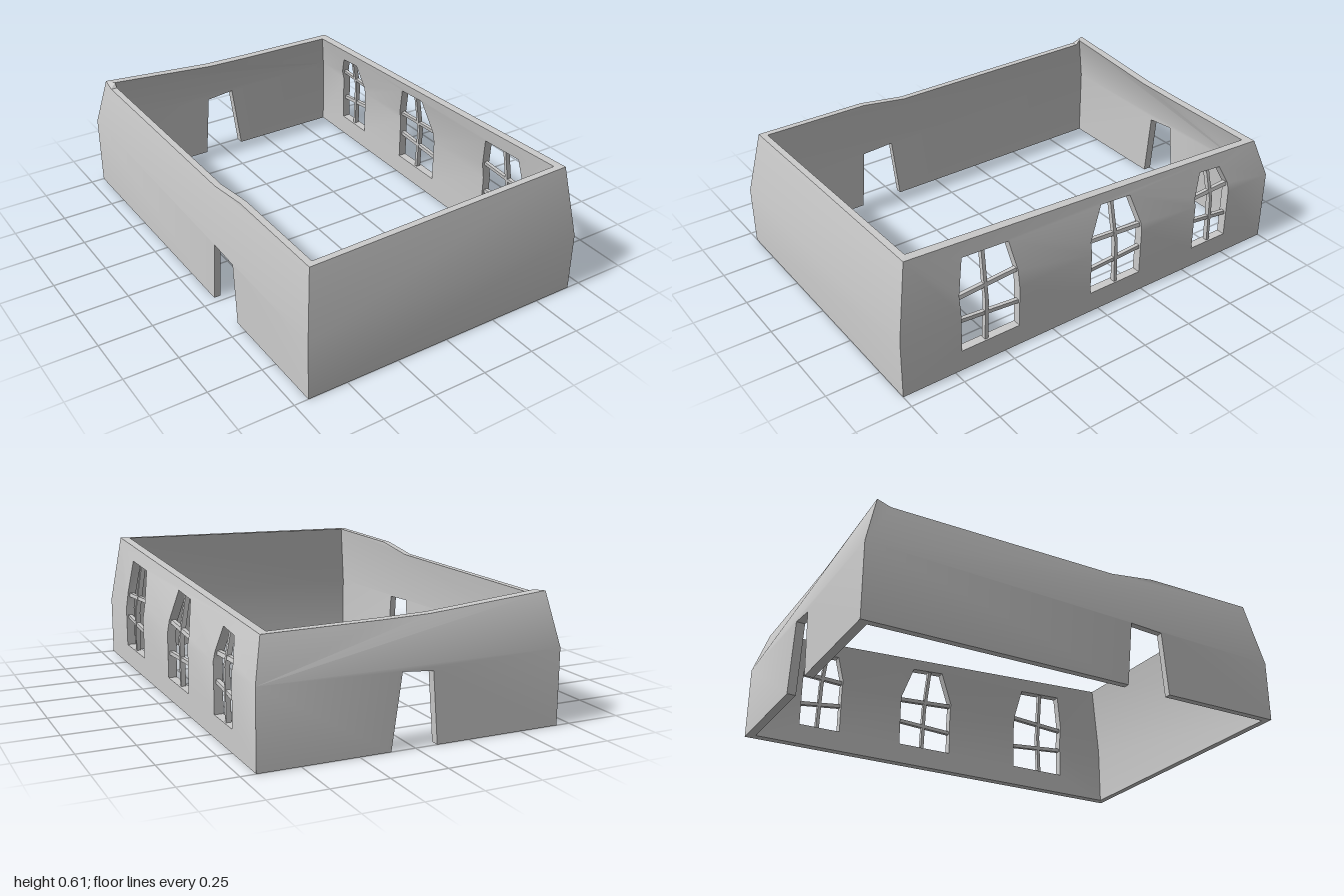
import * as THREE from 'three';
import { mergeGeometries, toCreasedNormals } from 'three/addons/utils/BufferGeometryUtils.js';

const lerp = THREE.MathUtils.lerp;

// Walls in order front, right, back, left. In each, u runs to the right as seen from outside.
// half: half length, dist: distance to centre, lean: inward lean of the top, t: thickness,
// crease: height of the bend at both ends, top: outline of the upper edge.
const WALLS = [
  { name: 'frontWall', half: 0.685, dist: 1, lean: 0.06, t: 0.03, crease: [0.28, 0.28],
    top: [[-0.685, 0.58], [0.685, 0.61]], windows: [], doors: [] },
  { name: 'rightWall', half: 1, dist: 0.685, lean: 0.045, t: 0.04, crease: [0.28, 0.34],
    top: [[-1, 0.61], [1, 0.52]], doors: [],
    // l, r: sides; sh: shoulders; tl, tr: top corners; mid: mullion; bars: end heights
    windows: [
      { l: -0.716, r: -0.428, sh: [0.37, 0.375], tl: [-0.685, 0.53], tr: [-0.46, 0.52],
        mid: [-0.59, -0.58], bars: [[0.355, 0.375], [0.245, 0.22]] },
      { l: -0.048, r: 0.23, sh: [0.365, 0.355], tl: [0.02, 0.515], tr: [0.18, 0.505],
        mid: [0.1, 0.085], bars: [[0.36, 0.345], [0.215, 0.23]] },
      { l: 0.55, r: 0.754, sh: [0.365, 0.375], tl: [0.59, 0.477], tr: [0.71, 0.467],
        mid: [0.66, 0.645], bars: [[0.36, 0.37], [0.24, 0.215]] },
    ] },
  { name: 'backWall', half: 0.685, dist: 1, lean: 0.06, t: 0.04, crease: [0.34, 0.34],
    top: [[-0.685, 0.52], [-0.13, 0.525], [0.09, 0.53], [0.685, 0.575]], windows: [],
    doors: [[[-0.11, 0], [-0.065, 0.325], [0.075, 0.31], [0.1, 0]]] },
  { name: 'leftWall', half: 1, dist: 0.685, lean: 0.045, t: 0.03, crease: [0.34, 0.28],
    top: [[-1, 0.575], [-0.88, 0.555], [0.19, 0.55], [0.41, 0.58], [1, 0.58]], windows: [],
    doors: [[[0.217, 0], [0.249, 0.3], [0.407, 0.29], [0.43, 0]]] },
];

const creaseAt = (w, u) => lerp(w.crease[0], w.crease[1], (u + w.half) / (2 * w.half));

function topAt(w, u) {
  const i = Math.max(1, w.top.findIndex((p) => p[0] >= u - 1e-4));
  const [a, b] = [w.top[i - 1], w.top[i]];
  return lerp(a[1], b[1], (u - a[0]) / (b[0] - a[0]));
}

// Extrude an outline between two depths of a wall, bend it with the wall and mitre its ends.
function slab(index, points, d0, d1) {
  const w = WALLS[index];
  const shape = new THREE.Shape(points.map((p) => new THREE.Vector2(...p)));
  const src = new THREE.ExtrudeGeometry(shape, { depth: d1 - d0, bevelEnabled: false });
  const p = src.attributes.position;
  const out = [];
  const atEnd = (i, s) => Math.abs(p.getX(i) - s * w.half) < 1e-4;
  const atCrease = (i) => Math.abs(p.getY(i) - creaseAt(w, p.getX(i))) < 1e-4;
  for (let i = 0; i < p.count; i += 3) {
    const tri = [i, i + 1, i + 2];
    // leave out the hidden joints at corners and along the bend
    if (tri.every(atCrease) || tri.every((k) => atEnd(k, 1)) || tri.every((k) => atEnd(k, -1))) continue;
    for (const k of tri) {
      const u = p.getX(k), y = p.getY(k), d = d1 - p.getZ(k);
      const c = creaseAt(w, u);
      const f = Math.max(0, (y - c) / (topAt(w, u) - c));
      let along = u;
      for (const s of [-1, 1]) {
        if (!atEnd(k, s)) continue;
        const next = WALLS[(index + s + 4) % 4];
        along = s * (w.half - f * next.lean - (d / w.t) * next.t);
      }
      out.push(along, y, w.dist - f * w.lean - d);
    }
  }
  const geo = new THREE.BufferGeometry();
  geo.setAttribute('position', new THREE.Float32BufferAttribute(out, 3));
  return geo.rotateY(index * Math.PI / 2);
}

// Lower upright part and upper leaning part of a wall, with door and window openings
function wallSlabs(index) {
  const w = WALLS[index], H = w.half;
  const at = (u) => [u, creaseAt(w, u)];
  const lower = [[-H, 0], ...w.doors.flat(), [H, 0], at(H)];
  for (const o of [...w.windows].reverse()) lower.push(at(o.r), [o.r, 0.1], [o.l, 0.1], at(o.l));
  lower.push(at(-H));
  const upper = [at(-H)];
  for (const o of w.windows) upper.push(at(o.l), [o.l, o.sh[0]], o.tl, o.tr, [o.r, o.sh[1]], at(o.r));
  upper.push(at(H), ...[...w.top].reverse());
  return [slab(index, lower, 0, w.t), slab(index, upper, 0, w.t)];
}

// Crooked mullion and two crossbars of one window
function windowBars(index, o) {
  const w = WALLS[index], h = 0.008;
  const topY = (u) => lerp(o.tl[1], o.tr[1], (u - o.tl[0]) / (o.tr[0] - o.tl[0]));
  const bend = creaseAt(w, o.mid[0]);
  const m = lerp(o.mid[0], o.mid[1], 0.5);
  const strip = (u0, y0, u1, yl, yr) => [[u0 - h, y0[0]], [u0 + h, y0[1]], [u1 + h, yr], [u1 - h, yl]];
  const cl = creaseAt(w, m - h), cr = creaseAt(w, m + h);
  const parts = [
    slab(index, strip(o.mid[0], [0.1, 0.1], m, cl, cr), 0.008, 0.03),
    slab(index, strip(m, [cl, cr], o.mid[1], topY(o.mid[1] - h), topY(o.mid[1] + h)), 0.008, 0.03),
  ];
  for (const [a, b] of o.bars) {
    const g = 0.009;
    parts.push(slab(index, [[o.l, a - g], [o.r, b - g], [o.r, b + g], [o.l, a + g]], 0.01, 0.028));
  }
  return mergeGeometries(parts);
}

export function createModel() {
  const group = new THREE.Group();
  const material = new THREE.MeshStandardMaterial({ color: 0xcccccc });
  const add = (name, geo) => {
    const mesh = new THREE.Mesh(toCreasedNormals(geo, 0.4), material);
    mesh.name = name;
    group.add(mesh);
  };
  WALLS.forEach((w, i) => {
    add(w.name, mergeGeometries(wallSlabs(i)));
    w.windows.forEach((o, k) => add('windowBars' + (k + 1), windowBars(i, o)));
  });
  return group;
}
